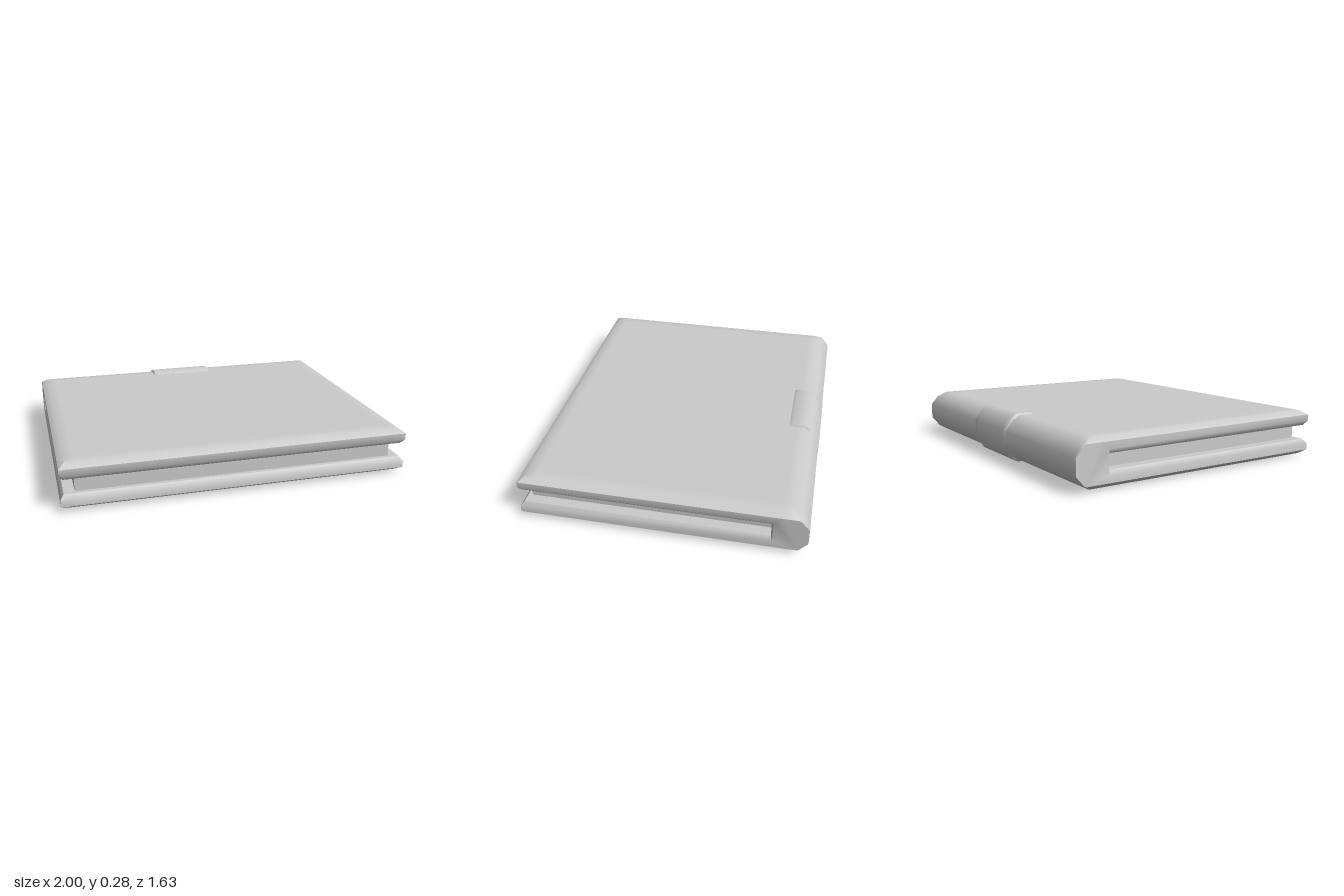
import * as THREE from 'three';
import { toCreasedNormals } from 'three/addons/utils/BufferGeometryUtils.js';

const HEIGHT = 0.285;

// Upper half outlines: [z, y, z at the end face, y at the end face, end inset, widening]
const COVER = [
  [-0.61, 0.185, -0.62, 0.21, 0.02, 0],
  [0.795, 0.185, 0.812, 0.21, 0.02, 0],
  [0.815, 0.21, 0.815, 0.212, 0.02, 0],
  [0.815, 0.25, 0.815, 0.248, 0.035, 0],
  [0.775, 0.275, 0.812, 0.25, 0.035, 0],
  [0.72, 0.275, 0.72, 0.25, 0.035, 0],
  [-0.67, 0.275, -0.67, 0.25, 0.035, 0],
  [-0.72, 0.275, -0.75, 0.25, 0.035, 0],
  [-0.765, 0.25, -0.765, 0.246, 0.02, 0],
  [-0.813, 0.19, -0.813, 0.19, 0.02, 0],
];
const CLASP = [
  [-0.625, 0.273, -0.63, 0.27, 0.01, 0],
  [-0.645, 0.285, -0.635, 0.272, 0.01, 0],
  [-0.7, 0.285, -0.7, 0.272, 0.01, 0],
  [-0.73, 0.285, -0.722, 0.272, 0.012, 0.004],
  [-0.765, 0.267, -0.763, 0.248, 0.013, 0.01],
  [-0.816, 0.196, -0.811, 0.19, 0.013, 0.01],
];

// Lofts a mirrored outline along x, with chamfered ends closed by flat caps
function loftAlongX(half, halfWidth, support) {
  const mirrored = half.map(([z, y, ez, ey, ...rest]) => [z, HEIGHT - y, ez, HEIGHT - ey, ...rest]);
  const outline = [...half, ...mirrored.reverse()];
  const row = (side, kind) => outline.map(([z, y, ez, ey, inset, widen]) => {
    const w = halfWidth + widen;
    if (kind === 'end') return new THREE.Vector3(side * w, ey, ez);
    return new THREE.Vector3(side * (kind === 'rim' ? w - inset : w - support), y, z);
  });
  const rows = [row(-1, 'end'), row(-1, 'rim'), row(-1, 'inner'),
    row(1, 'inner'), row(1, 'rim'), row(1, 'end')];

  const points = [];
  const n = outline.length;
  for (let j = 0; j < rows.length - 1; j++) {
    for (let i = 0; i < n; i++) {
      const k = (i + 1) % n;
      const a = rows[j][i], b = rows[j][k], c = rows[j + 1][i], d = rows[j + 1][k];
      points.push(a, c, b, b, c, d);
    }
  }

  // End caps, each triangle turned to face outward
  for (const [side, end] of [[-1, rows[0]], [1, rows[rows.length - 1]]]) {
    const flat = end.map((p) => new THREE.Vector2(-p.z, p.y));
    for (const [i, j, k] of THREE.ShapeUtils.triangulateShape(flat, [])) {
      const ccw = THREE.ShapeUtils.area([flat[i], flat[j], flat[k]]) > 0;
      if (ccw === (side > 0)) points.push(end[i], end[j], end[k]);
      else points.push(end[i], end[k], end[j]);
    }
  }
  return toCreasedNormals(new THREE.BufferGeometry().setFromPoints(points), 0.72);
}

export function createModel() {
  const group = new THREE.Group();
  const material = new THREE.MeshStandardMaterial({ color: 0xcccccc });
  const add = (name, geometry) => {
    const mesh = new THREE.Mesh(geometry, material);
    mesh.name = name;
    group.add(mesh);
    return mesh;
  };

  // Both covers and the rounded spine in one piece
  add('coverAndSpine', loftAlongX(COVER, 1, 0.09));

  // Band wrapped around the middle of the spine
  add('spineClasp', loftAlongX(CLASP, 0.208, 0.05));

  // Page block set back between the covers
  const pages = add('pages', new THREE.BoxGeometry(1.84, 0.095, 1.39));
  pages.position.set(0, HEIGHT / 2, 0.075);

  return group;
}
